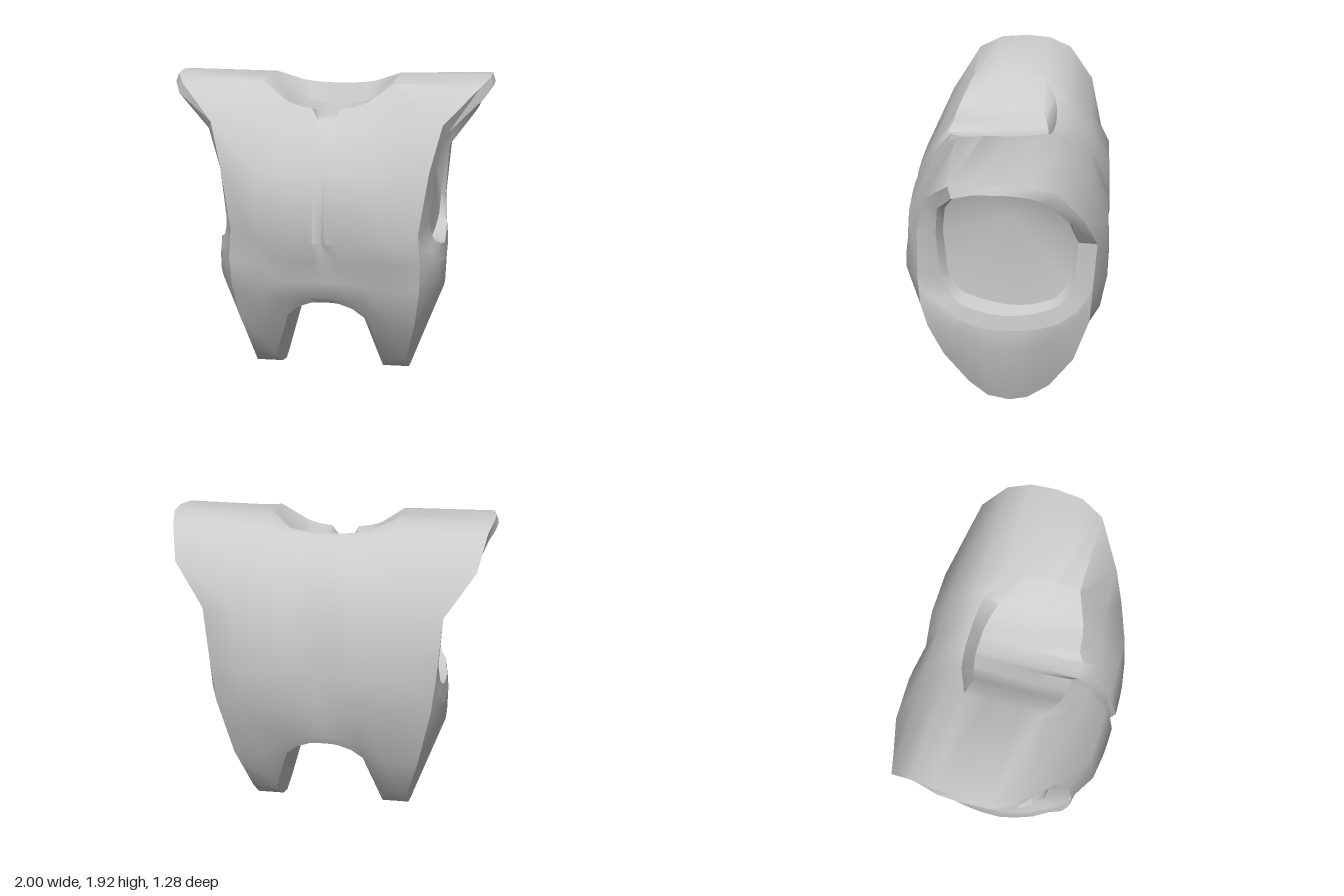
import * as THREE from 'three';
import { toCreasedNormals } from 'three/addons/utils/BufferGeometryUtils.js';

// Every loop runs top -> front -> foot -> back, with 21 matching points.
// Centre line of the vest, as [z, y]
const CENTRE = [
  [-0.24, 1.69], [0.14, 1.69], [0.35, 1.73], [0.45, 1.6], [0.58, 1.37], [0.637, 0.96], [0.55, 0.82],
  [0.54, 0.7], [0.49, 0.59], [0.46, 0.55], [0.2, 0.52], [-0.04, 0.52], [-0.25, 0.52], [-0.51, 0.55],
  [-0.54, 0.61], [-0.61, 0.8], [-0.645, 1.03], [-0.625, 1.4], [-0.5, 1.66], [-0.34, 1.81], [-0.29, 1.82],
];
// Line through the shoulder and the inside of the leg, as [z, y]
const SHOULDER = [
  [-0.05, 1.9], [0.12, 1.9], [0.26, 1.88], [0.42, 1.64], [0.57, 1.37], [0.605, 0.96], [0.54, 0.82],
  [0.52, 0.65], [0.39, 0.42], [0.22, 0.12], [0.1, 0.03], [-0.04, 0], [-0.16, 0.03], [-0.3, 0.14],
  [-0.47, 0.43], [-0.6, 0.8], [-0.635, 1.03], [-0.62, 1.4], [-0.5, 1.66], [-0.34, 1.86], [-0.2, 1.9],
];
// Edge where front and back meet the side, as [x, y, z]
const EDGE = [
  [0.985, 1.92, -0.05], [0.97, 1.91, 0.12], [0.91, 1.86, 0.26], [0.7, 1.65, 0.42], [0.63, 1.38, 0.49],
  [0.57, 1.0, 0.51], [0.585, 0.82, 0.5], [0.58, 0.64, 0.46], [0.55, 0.4, 0.37], [0.49, 0.13, 0.22],
  [0.5, 0.03, 0.1], [0.5, 0, -0.04], [0.5, 0.03, -0.16], [0.5, 0.14, -0.3], [0.58, 0.43, -0.45],
  [0.66, 0.8, -0.54], [0.69, 1.05, -0.55], [0.72, 1.4, -0.565], [0.9, 1.66, -0.49], [0.95, 1.86, -0.34],
  [0.98, 1.91, -0.2],
];
// Lower outer edge of the arm hole (points 6 to 15)
const RIM_BOTTOM = [
  [0.6, 0.91, 0.45], [0.64, 0.86, 0.38], [0.69, 0.8, 0.27], [0.71, 0.765, 0.18], [0.72, 0.745, 0.08],
  [0.72, 0.74, -0.04], [0.72, 0.745, -0.14], [0.72, 0.765, -0.24], [0.715, 0.81, -0.36], [0.7, 0.9, -0.47],
];
// Inner edge of the arm hole rim
const RIM_INNER = [
  [1, 1.87, -0.05], [0.99, 1.86, 0.12], [0.94, 1.8, 0.24], [0.73, 1.6, 0.35], [0.66, 1.38, 0.375],
  [0.63, 1.05, 0.355], [0.64, 0.98, 0.32], [0.66, 0.92, 0.28], [0.69, 0.895, 0.23], [0.7, 0.87, 0.14],
  [0.71, 0.855, 0.06], [0.71, 0.845, -0.04], [0.71, 0.855, -0.13], [0.71, 0.87, -0.2], [0.71, 0.91, -0.3],
  [0.7, 0.94, -0.36], [0.69, 1.07, -0.44], [0.71, 1.4, -0.455], [0.87, 1.62, -0.42], [0.95, 1.8, -0.28],
  [0.99, 1.855, -0.18],
];
// Where the shoulder line leaves x = 0.4: inside of the leg, then the broad upper back
const SHOULDER_X = { 8: 0.38, 9: 0.345, 10: 0.33, 11: 0.33, 12: 0.33, 13: 0.345, 14: 0.38, 15: 0.5, 16: 0.5, 17: 0.5 };

const toVectors = (rows) => rows.map((p) => new THREE.Vector3(...p));
const mirror = (loops) => loops.map((l) => l.map((p) => new THREE.Vector3(-p.x, p.y, p.z))).reverse();

// Skin a row of closed loops ordered by rising x
function loft(name, loops, crease) {
  const out = [];
  const tri = (a, b, c) => {
    const area = b.clone().sub(a).cross(c.clone().sub(a)).length();
    if (area > 1e-6) for (const p of [a, b, c]) out.push(p.x, p.y, p.z);
  };
  for (let k = 0; k + 1 < loops.length; k++) {
    const a = loops[k], b = loops[k + 1];
    for (let i = 0; i < a.length; i++) {
      const j = (i + 1) % a.length;
      tri(a[i], a[j], b[j]);
      tri(a[i], b[j], b[i]);
    }
  }
  const geo = new THREE.BufferGeometry();
  geo.setAttribute('position', new THREE.Float32BufferAttribute(out, 3));
  const mesh = new THREE.Mesh(
    toCreasedNormals(geo, crease),
    new THREE.MeshStandardMaterial({ color: 0xcccccc, side: THREE.DoubleSide }),
  );
  mesh.name = name;
  return mesh;
}

// Section across the vest: the neck dip and the leg arch both follow the weight w
function section(x) {
  const w = (x / 0.4) ** 2.7;
  return CENTRE.map(([z, y], i) => {
    const [sz, sy] = SHOULDER[i];
    const p = new THREE.Vector3(x, y + (sy - y) * w, z + (sz - z) * w);
    if (x === 0.4) p.x = SHOULDER_X[i] ?? x;
    if (x <= 0.05 && i === 2) p.set(x, 1.67, 0.38); // collar notch
    if (x <= 0.05 && i === 1) p.y = 1.67;
    if (x === 0 && i === 4) p.z -= 0.008; // chest crease, deepest at its lower end
    if (x === 0 && i === 5) p.z -= 0.045;
    if (i > 14 && i < 18) p.z += 0.035 * Math.max(0, 1 - x / 0.22); // soft hollow along the spine
    return p;
  });
}

export function createModel() {
  const group = new THREE.Group();
  group.name = 'torsoArmour';

  // Front, back, neck and leg arch
  const edge = toVectors(EDGE);
  const half = [...[0.05, 0.09, 0.17, 0.24, 0.4].map(section), edge];
  group.add(loft('torsoShell', [...mirror(half), section(0), ...half], 0.82));

  // Bulging side panel from the foot up to the arm hole
  const rimBottom = toVectors(RIM_BOTTOM);
  const rim = edge.map((p, i) => (i > 5 && i < 16 ? rimBottom[i - 6] : p));
  const bulge = edge.map((p, i) => {
    const q = p.clone().lerp(rim[i], 0.78);
    if (i > 5 && i < 16) q.x += 0.045 * Math.sin((Math.PI * (i - 5)) / 11) ** 2;
    return q;
  });

  // Recessed arm hole closed by a shallow fan that leans out with the shoulder
  const inner = toVectors(RIM_INNER);
  const floor = inner.map((p) => {
    const z = -0.05 + (p.z + 0.05) * 0.92;
    const y = 1.35 + (p.y - 1.35) * (p.y > 1.35 ? 0.81 : 0.96);
    return new THREE.Vector3(0.615 - 0.12 * z + 0.25 * Math.max(0, y - 1.3), y, z);
  });
  const middle = inner.map(() => new THREE.Vector3(0.61, 1.5, -0.05));

  const parts = [
    ['SidePanel', [edge, bulge, rim], 0.6],
    ['ArmHoleRim', [rim, inner], 0.5],
    ['ArmHoleRecess', [inner, floor, middle], 0.6],
  ];
  for (const [name, loops, crease] of parts) {
    group.add(loft('left' + name, loops, crease));
    group.add(loft('right' + name, mirror(loops), crease));
  }
  return group;
}
